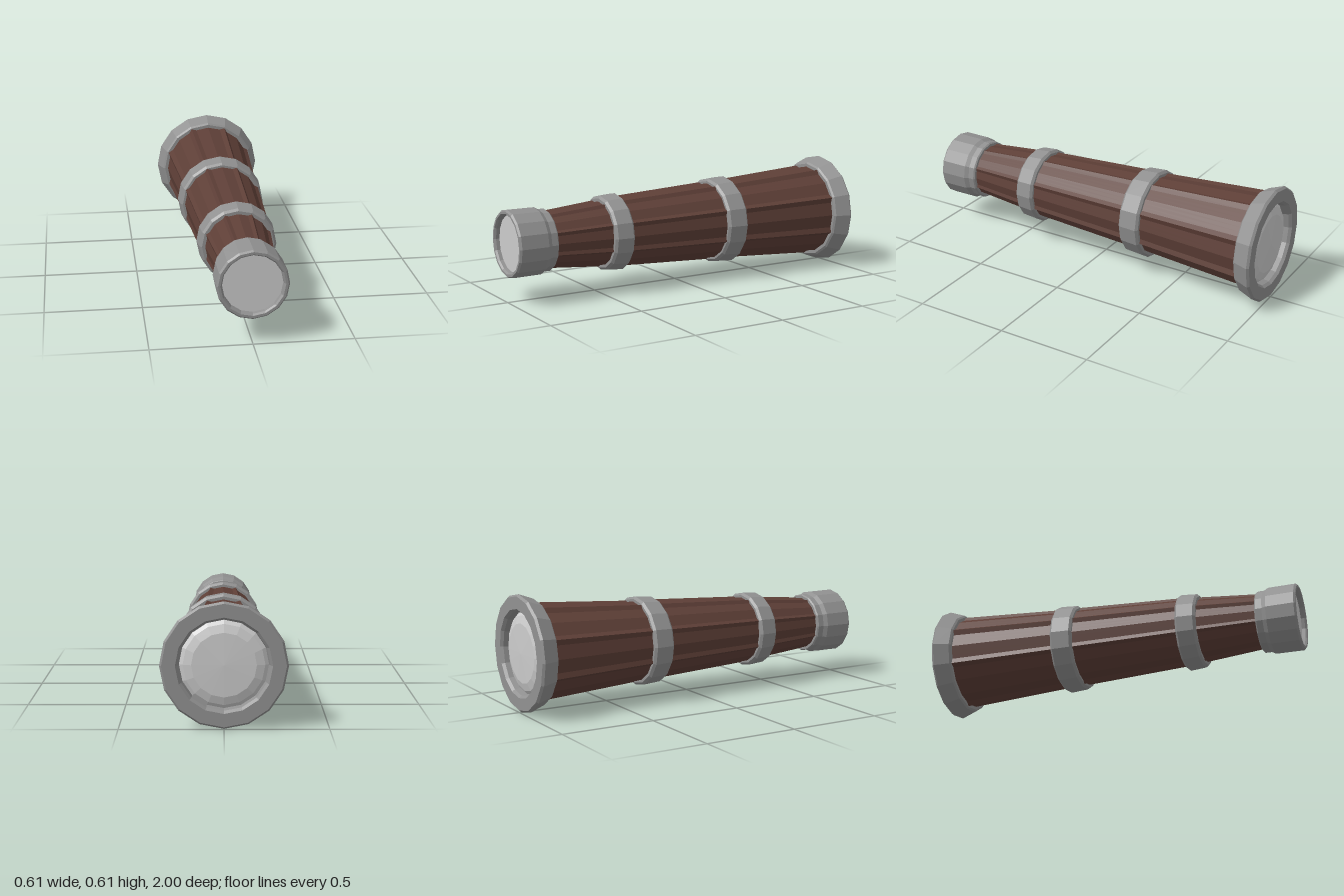
import * as THREE from 'three';

const SIDES = 16;
const AXIS_Y = 0.305;
const STEP = (Math.PI * 2) / SIDES;

const mat = (color) => new THREE.MeshStandardMaterial({ color, flatShading: true });

// Part turned about the z axis; profile is [radius, z] pairs, running from back to front
function turned(name, profile, material) {
  const geo = new THREE.LatheGeometry(profile.map(([r, z]) => new THREE.Vector2(r, z)), SIDES);
  geo.rotateX(Math.PI / 2);
  const mesh = new THREE.Mesh(geo, material);
  mesh.name = name;
  return mesh;
}

// Tapered wooden tube: a 16-sided section with a raised seam where two planks meet
const SEAMS = [22.5, 67.5, 112.5, 157.5, 202.5, 270, 337.5].map(THREE.MathUtils.degToRad);
function barrel(name, zBack, rBack, zFront, rFront, material) {
  const geo = new THREE.CylinderGeometry(rFront, rBack, zFront - zBack, SIDES * 4, 1, true);
  geo.rotateX(Math.PI / 2);
  const pos = geo.attributes.position;
  for (let i = 0; i < pos.count; i++) {
    const x = pos.getX(i), y = pos.getY(i);
    const angle = (Math.atan2(y, x) + Math.PI * 2) % (Math.PI * 2);
    const local = angle - Math.round(angle / STEP) * STEP;
    const onSeam = SEAMS.some((s) => Math.abs(s - angle) < 0.01);
    const flat = Math.cos(STEP / 2) / Math.cos(STEP / 2 - Math.abs(local));
    const k = onSeam ? 1 : 0.95 * flat;
    pos.setXY(i, x * k, y * k);
  }
  geo.translate(0, 0, (zBack + zFront) / 2);
  geo.computeVertexNormals();
  const mesh = new THREE.Mesh(geo, material);
  mesh.name = name;
  return mesh;
}

// Bevelled band, slightly wider toward the back
function band(name, zBack, rBack, zFront, rFront, inner, material) {
  const b = 0.012;
  return turned(name, [
    [inner, zBack], [rBack - b, zBack], [rBack, zBack + b],
    [rFront, zFront - b], [rFront - b, zFront], [inner, zFront],
  ], material);
}

export function createModel() {
  const group = new THREE.Group();
  group.name = 'spyglass';
  const body = new THREE.Group();
  body.name = 'body';
  body.position.y = AXIS_Y;
  group.add(body);

  const metal = mat(0x919191);
  const wood = mat(0x5e3f37);
  const glass = mat(0xcccccc);

  // Three wooden tubes
  body.add(
    barrel('rearBarrel', -0.92, 0.263, -0.3, 0.222, wood),
    barrel('middleBarrel', -0.25, 0.222, 0.4, 0.188, wood),
    barrel('frontBarrel', 0.42, 0.184, 0.8, 0.149, wood),
  );

  // Bands covering the joints
  body.add(
    band('rearBand', -0.33, 0.24, -0.21, 0.233, 0.19, metal),
    band('frontBand', 0.36, 0.206, 0.47, 0.199, 0.15, metal),
  );

  // Flared rim round the large lens
  body.add(turned('objectiveRim', [
    [0.212, -0.95], [0.218, -0.985], [0.23, -1], [0.295, -1], [0.305, -0.988],
    [0.276, -0.908], [0.266, -0.9], [0.22, -0.9],
  ], metal));
  body.add(turned('objectiveLens', [
    [0, -0.985], [0.155, -0.98], [0.195, -0.967], [0.217, -0.95],
  ], glass));

  // Eyepiece with its narrower collar
  body.add(turned('eyepiece', [
    [0.12, 0.78], [0.158, 0.78], [0.164, 0.787], [0.164, 0.82], [0.176, 0.842],
    [0.177, 0.99], [0.169, 1], [0.157, 1], [0.15, 0.99], [0.147, 0.97],
  ], metal));
  body.add(turned('eyeLens', [[0.149, 0.972], [0, 0.972]], glass));

  return group;
}
